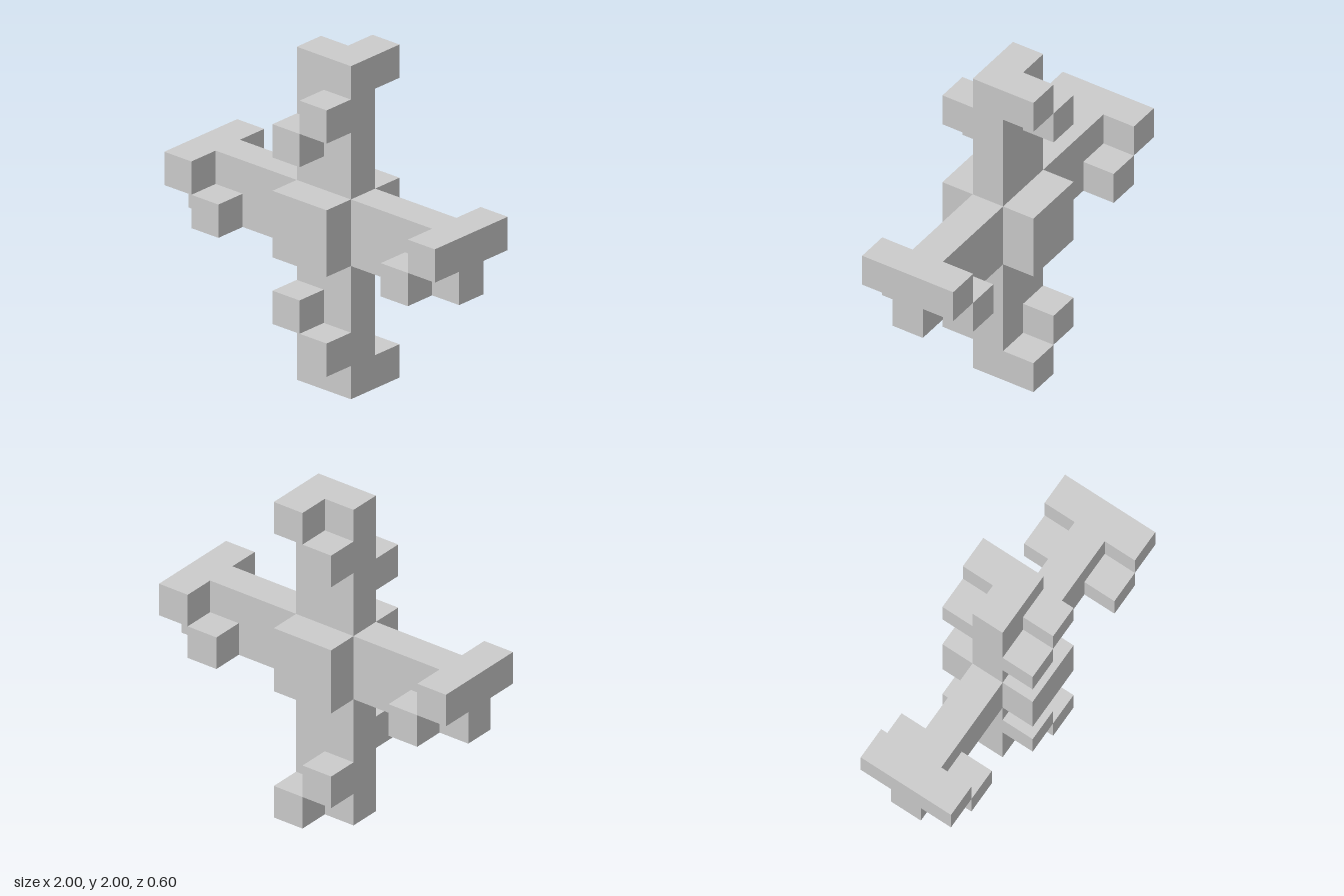
import * as THREE from 'three';

const U = 0.2; // edge of one small cube

export function createModel() {
  const model = new THREE.Group();
  const material = new THREE.MeshStandardMaterial({ color: 0xcccccc, flatShading: true });

  const addBox = (name, size, position) => {
    const mesh = new THREE.Mesh(new THREE.BoxGeometry(...size), material);
    mesh.name = name;
    mesh.position.set(...position);
    model.add(mesh);
  };

  // Thick central block
  addBox('hub', [2 * U, 2 * U, 3 * U], [0, 1, 0]);

  // Four flat arms forming a cross
  for (const [side, s] of [['left', 1], ['right', -1]]) {
    addBox(side + 'Arm', [0.8, 2 * U, U], [s * 0.6, 1, 0]);
  }
  addBox('upperArm', [2 * U, 0.8, U], [0, 1.6, 0]);
  addBox('lowerArm', [2 * U, 0.8, U], [0, 0.4, 0]);

  // Side arm cubes: high at the tip, low one step inward, front and back
  for (const [face, z] of [['front', U], ['back', -U]]) {
    for (const [side, s] of [['Left', 1], ['Right', -1]]) {
      addBox(face + side + 'TipCube', [U, U, U], [s * 0.9, 1.1, z]);
      addBox(face + side + 'InnerCube', [U, U, U], [s * 0.7, 0.9, z]);
    }
  }

  // Upright arm cubes: staggered diagonal pairs, [name, x, y, z]
  const uprightCubes = [
    ['frontUpperLeftCube', 0.1, 1.7, U],
    ['frontUpperRightCube', -0.1, 1.5, U],
    ['backUpperLeftCube', 0.1, 1.9, -U],
    ['backUpperRightCube', -0.1, 1.7, -U],
    ['frontLowerLeftCube', 0.1, 0.3, U],
    ['frontLowerRightCube', -0.1, 0.5, U],
    ['backLowerLeftCube', 0.1, 0.1, -U],
    ['backLowerRightCube', -0.1, 0.3, -U],
  ];
  for (const [name, ...position] of uprightCubes) addBox(name, [U, U, U], position);

  return model;
}
